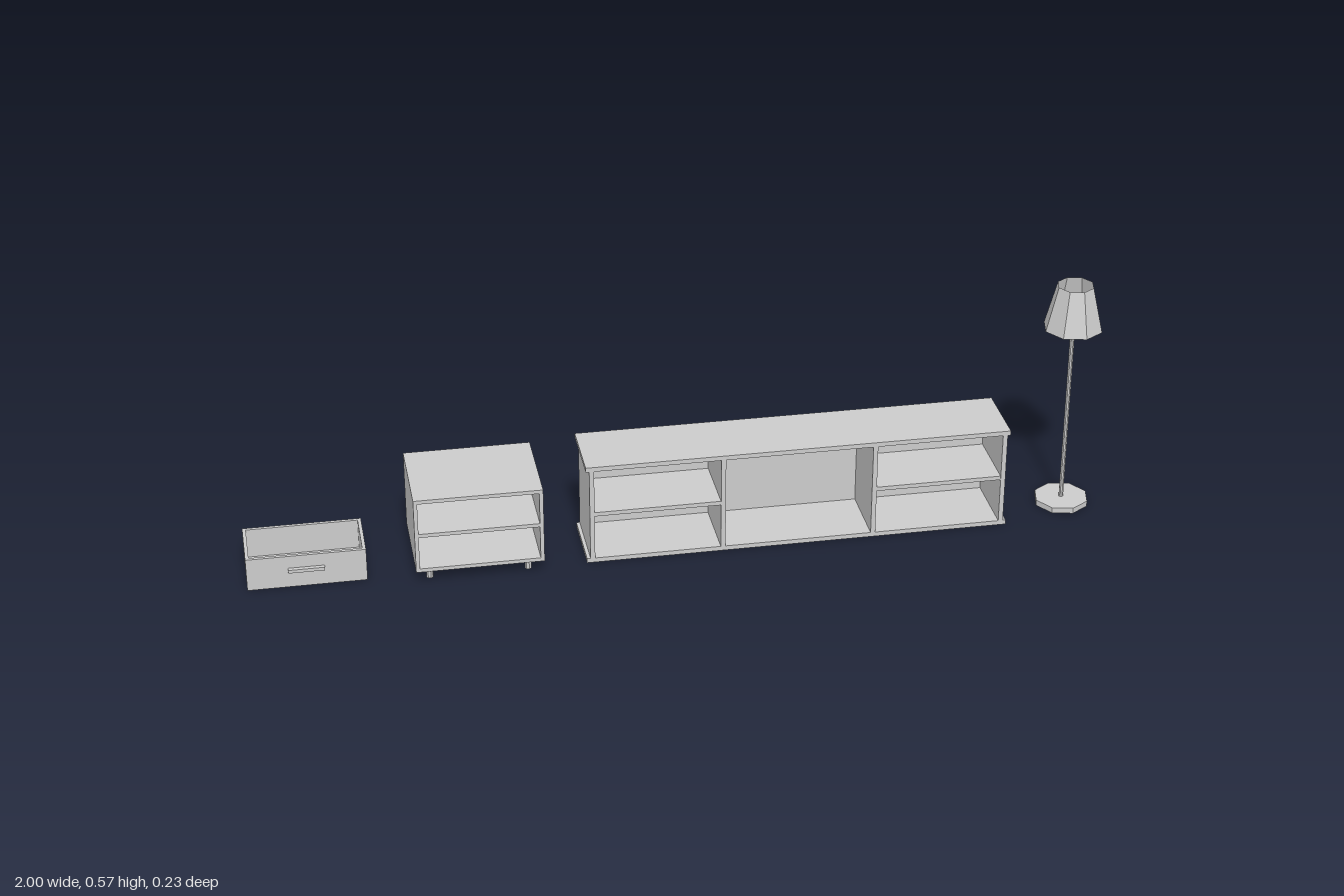
import * as THREE from 'three';

const material = new THREE.MeshStandardMaterial({ color: 0xcccccc, flatShading: true });
const thinMaterial = new THREE.MeshStandardMaterial({ color: 0xcccccc, flatShading: true, side: THREE.DoubleSide });

function group(parent, name) {
  const g = new THREE.Group();
  g.name = name;
  parent.add(g);
  return g;
}

// Box given by its extents along each axis
function board(parent, name, [x0, x1], [y0, y1], [z0, z1]) {
  const mesh = new THREE.Mesh(new THREE.BoxGeometry(x1 - x0, y1 - y0, z1 - z0), material);
  mesh.position.set((x0 + x1) / 2, (y0 + y1) / 2, (z0 + z1) / 2);
  mesh.name = name;
  parent.add(mesh);
}

// Eight-sided upright cylinder or cone
function post(parent, name, rTop, rBottom, y0, y1, x, z, open = false) {
  const geometry = new THREE.CylinderGeometry(rTop, rBottom, y1 - y0, 8, 1, open);
  const mesh = new THREE.Mesh(geometry, open ? thinMaterial : material);
  mesh.position.set(x, (y0 + y1) / 2, z);
  mesh.rotation.y = THREE.MathUtils.degToRad(10);
  mesh.name = name;
  parent.add(mesh);
}

function buildDrawer(root) {
  const g = group(root, 'drawer');
  const t = 0.008, x0 = -1, x1 = -0.728, z0 = -0.07, z1 = 0.073, h = 0.08;
  board(g, 'drawerBottom', [x0 + t, x1 - t], [0, t], [z0 + t, z1 - t]);
  board(g, 'drawerFront', [x0, x1], [0, h], [z1 - t, z1]);
  board(g, 'drawerBack', [x0 + t, x1 - t], [0, h], [z0, z0 + t]);
  board(g, 'drawerSide', [x0, x0 + t], [0, h], [z0, z1 - t]);
  board(g, 'drawerSide', [x1 - t, x1], [0, h], [z0, z1 - t]);
  board(g, 'drawerHandle', [-0.906, -0.823], [0.041, 0.049], [z1, 0.083]);
}

function buildNightstand(root) {
  const g = group(root, 'nightstand');
  const t = 0.009, x0 = -0.62, x1 = -0.326, y0 = 0.031, y1 = 0.217, z = 0.114;
  board(g, 'nightstandTop', [x0, x1], [y1 - t, y1], [-z, z]);
  board(g, 'nightstandBottom', [x0, x1], [y0, y0 + t], [-z, z]);
  board(g, 'nightstandSide', [x0, x0 + t], [y0 + t, y1 - t], [-z, z]);
  board(g, 'nightstandSide', [x1 - t, x1], [y0 + t, y1 - t], [-z, z]);
  board(g, 'nightstandBack', [x0 + t, x1 - t], [y0 + t, y1 - t], [-z, -z + t]);
  board(g, 'nightstandShelf', [x0 + t, x1 - t], [0.12, 0.129], [-z + t, z - 0.002]);
  for (const x of [-0.587, -0.361])
    for (const lz of [-0.082, 0.085]) post(g, 'nightstandLeg', 0.008, 0.008, 0, y0, x, lz);
}

function buildConsole(root) {
  const g = group(root, 'console');
  const t = 0.011, x0 = -0.225, x1 = 0.77, h = 0.249, z0 = -0.079, z1 = 0.089;
  const inner = [t, h - t];
  board(g, 'consoleTop', [x0, x1], [h - t, h], [z0, z1]);
  board(g, 'consoleBottom', [x0, x1], [0, t], [z0, z1]);
  // Outer sides and the two dividers
  for (const x of [-0.217, 0.088, 0.444, 0.752])
    board(g, 'consoleUpright', [x, x + t], inner, [z0, z1]);
  board(g, 'consoleBack', [-0.206, 0.752], inner, [z0, z0 + 0.008]);
  // Shelves in the outer bays only
  for (const xs of [[-0.206, 0.088], [0.455, 0.752]])
    board(g, 'consoleShelf', xs, [0.12, 0.13], [z0 + 0.008, z1 - 0.002]);
}

function buildLamp(root) {
  const g = group(root, 'floorLamp');
  const x = 0.93, z = 0.005;
  post(g, 'lampBase', 0.065, 0.065, 0, 0.014, x, z);
  post(g, 'lampPole', 0.0055, 0.0055, 0.014, 0.5, x, z);
  post(g, 'lampShade', 0.043, 0.07, 0.462, 0.57, x, z, true);
}

export function createModel() {
  const root = new THREE.Group();
  root.name = 'furnitureSet';
  buildDrawer(root);
  buildNightstand(root);
  buildConsole(root);
  buildLamp(root);
  return root;
}
